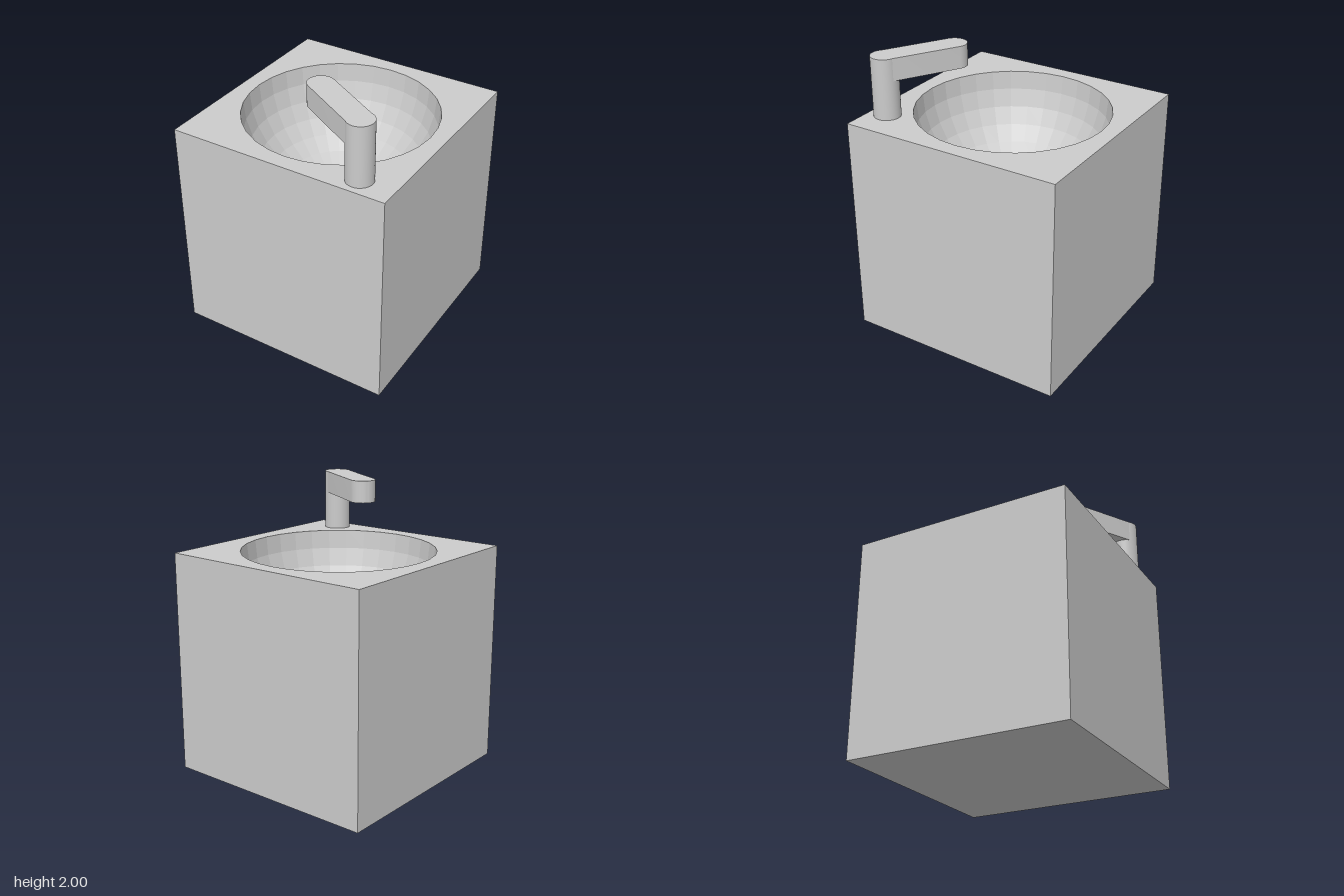
import * as THREE from 'three';
import { toCreasedNormals } from 'three/addons/utils/BufferGeometryUtils.js';

const SIDE = 1.575, SEGMENTS = 32, RINGS = 8, BOWL_RADIUS = 0.674;

export function createModel() {
  const group = new THREE.Group();
  const smooth = new THREE.MeshStandardMaterial({ color: 0xcccccc });
  const faceted = new THREE.MeshStandardMaterial({ color: 0xcccccc, flatShading: true, side: THREE.DoubleSide });

  const add = (name, geometry, material) => {
    const mesh = new THREE.Mesh(geometry, material);
    mesh.name = name;
    group.add(mesh);
    return mesh;
  };

  // Hemispherical bowl: profile from the rim down to the pole
  const profile = [];
  for (let i = 0; i <= RINGS; i++) {
    const a = i / RINGS * Math.PI / 2;
    profile.push(new THREE.Vector2(BOWL_RADIUS * Math.cos(a), SIDE - BOWL_RADIUS * Math.sin(a)));
  }
  add('basinBowl', new THREE.LatheGeometry(profile, SEGMENTS), faceted);

  // Cube body without its top face
  const body = new THREE.BoxGeometry(SIDE, SIDE, SIDE);
  const index = Array.from(body.index.array);
  index.splice(12, 6);
  body.setIndex(index);
  body.clearGroups();
  body.translate(0, SIDE / 2, 0);
  add('basinBody', body, faceted);

  // Top face with the round opening
  const h = SIDE / 2;
  const square = new THREE.Shape([[-h, -h], [h, -h], [h, h], [-h, h]].map(([x, y]) => new THREE.Vector2(x, y)));
  const opening = [];
  for (let i = 0; i < SEGMENTS; i++) {
    const a = -i * 2 * Math.PI / SEGMENTS;
    opening.push(new THREE.Vector2(BOWL_RADIUS * Math.cos(a), BOWL_RADIUS * Math.sin(a)));
  }
  square.holes.push(new THREE.Path(opening));
  const top = new THREE.ShapeGeometry(square);
  top.rotateX(-Math.PI / 2);
  top.translate(0, SIDE, 0);
  add('basinTop', top, faceted);

  // Tap: full-height column at the front left corner, slightly slimmer round-ended spout over the bowl
  const tapX = 0.536, tapZ = 0.651, columnRadius = 0.093;
  const column = add('tapColumn', new THREE.CylinderGeometry(columnRadius, columnRadius, 2 - SIDE, 32), smooth);
  column.position.set(tapX, (SIDE + 2) / 2, tapZ);

  const spoutRadius = 0.09, spoutLength = 0.5, spoutBottom = 1.844;
  const outline = new THREE.Shape();
  outline.absarc(0, 0, spoutRadius, -Math.PI / 2, Math.PI / 2, false);
  outline.absarc(-spoutLength, 0, spoutRadius, Math.PI / 2, Math.PI * 1.5, false);
  outline.closePath();
  const spoutGeometry = new THREE.ExtrudeGeometry(outline, { depth: 2 - spoutBottom, bevelEnabled: false, curveSegments: 16 });
  spoutGeometry.rotateX(-Math.PI / 2);
  const spout = add('tapSpout', toCreasedNormals(spoutGeometry, 0.6), smooth);
  spout.position.set(tapX, spoutBottom, tapZ);
  spout.rotation.y = -Math.PI / 6;

  return group;
}
